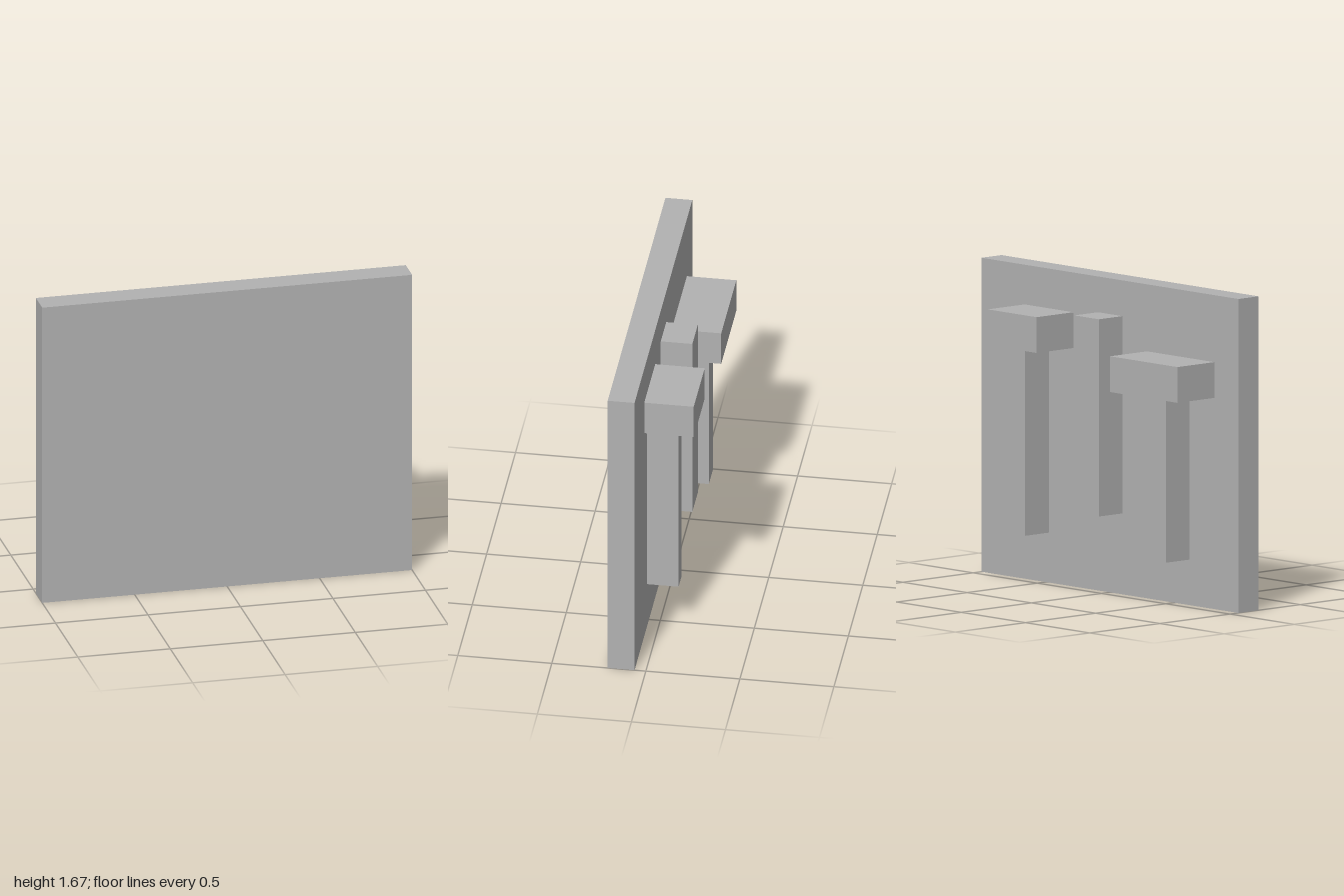
import * as THREE from 'three';

export function createModel() {
  const model = new THREE.Group();
  model.name = 'panelWithReliefBars';
  const grey = new THREE.MeshStandardMaterial({ color: 0xb2b2b2 });
  grey.name = 'plain grey';

  // Box given by its extents along each axis
  const addBox = (name, [x0, x1], [y0, y1], [z0, z1], parent = model) => {
    const mesh = new THREE.Mesh(new THREE.BoxGeometry(x1 - x0, y1 - y0, z1 - z0), grey);
    mesh.position.set((x0 + x1) / 2, (y0 + y1) / 2, (z0 + z1) / 2);
    mesh.name = name;
    parent.add(mesh);
  };

  const panelBack = 0.06;
  const barDepth = [-0.108, panelBack];
  const headDepth = [-0.203, panelBack];

  // Upright panel
  addBox('panel', [-1, 1], [0, 1.668], [panelBack, 0.203]);

  // Plain bar in the middle of the back
  addBox('middleBar', [-0.097, 0.093], [0.43, 1.478], barDepth);

  // T-shaped blocks: a stem under a deeper head
  const addTee = (name, stemX, headX, bottom, headY) => {
    const tee = new THREE.Group();
    tee.name = name;
    addBox('stem', stemX, [bottom, headY[0]], barDepth, tee);
    addBox('head', headX, headY, headDepth, tee);
    model.add(tee);
  };
  addTee('leftTee', [0.476, 0.57], [0.284, 0.664], 0.265, [1.267, 1.457]);
  addTee('rightTee', [-0.62, -0.478], [-0.812, -0.288], 0.242, [1.122, 1.312]);

  return model;
}
